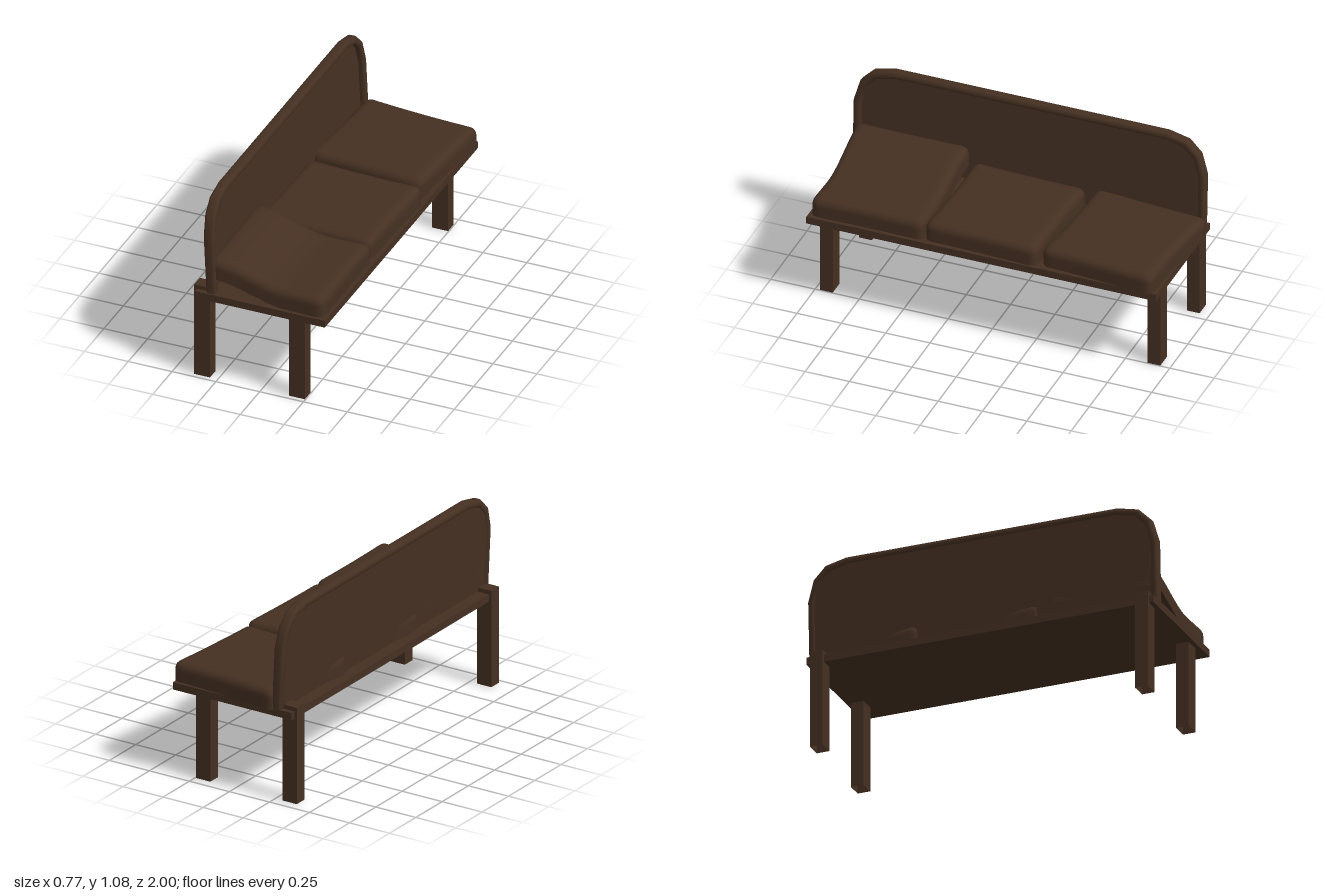
import * as THREE from 'three';
import { toCreasedNormals } from 'three/addons/utils/BufferGeometryUtils.js';

const material = new THREE.MeshStandardMaterial({ color: 0x453022, side: THREE.DoubleSide });

function addMesh(parent, name, geometry, x = 0, y = 0, z = 0) {
  const mesh = new THREE.Mesh(geometry, material);
  mesh.name = name;
  mesh.position.set(x, y, z);
  parent.add(mesh);
  return mesh;
}

// Box given by its limits along each axis
function addBox(parent, name, x0, x1, y0, y1, z0, z1) {
  return addMesh(parent, name, new THREE.BoxGeometry(x1 - x0, y1 - y0, z1 - z0),
    (x0 + x1) / 2, (y0 + y1) / 2, (z0 + z1) / 2);
}

// Hollow leg: a box without its bottom face
function addLeg(parent, name, x0, x1, top, z) {
  const geometry = addBox(parent, name, x0, x1, 0, top, z, z + 0.072).geometry;
  const index = Array.from(geometry.index.array);
  index.splice(18, 6);
  geometry.setIndex(index);
  geometry.clearGroups();
}

// Soft square cushion: flat bottom, rounded top and corners, pinched sides, optional rise at the back
function cushionGeometry(w, h, d, rise) {
  const r = 0.045;
  const geometry = new THREE.BoxGeometry(w, h, d, 28, 8, 28);
  const pos = geometry.attributes.position;
  const p = new THREE.Vector3(), core = new THREE.Vector3(), dir = new THREE.Vector3();
  const lo = new THREE.Vector3(-w / 2 + r, -h / 2, -d / 2 + r);
  const hi = new THREE.Vector3(w / 2 - r, h / 2 - r, d / 2 - r);
  for (let i = 0; i < pos.count; i++) {
    p.fromBufferAttribute(pos, i);
    core.copy(p).clamp(lo, hi);
    dir.subVectors(p, core);
    // keep the interior of the flat bottom as it is
    if (dir.length() > r || p.y > -h / 2 + 1e-6) p.copy(core).addScaledVector(dir.normalize(), r);
    const u = 2 * p.x / w, v = 2 * p.z / d;
    p.z *= 1 - 0.03 * (1 - u * u);
    p.x *= 1 - 0.015 * (1 - v * v);
    p.y += rise * THREE.MathUtils.smoothstep(-p.x, -0.12, 0.3);
    pos.setXYZ(i, p.x, p.y, p.z);
  }
  return toCreasedNormals(geometry, 0.7);
}

// Half outlines of the backrest, from its foot to the start of the top edge
const corner = [[0.992, 0], [0.992, 0.34], [0.958, 0.46], [0.888, 0.53], [0.77, 0.557]];
const innerCorner = [[0.952, 0], [0.952, 0.33], [0.922, 0.435], [0.866, 0.492], [0.76, 0.517]];
const panelCorner = innerCorner.map(([x, y]) => [x + 0.015, y && y + 0.015]);
const arch = (half) => [
  ...half.map(([x, y]) => new THREE.Vector2(x, y)),
  ...half.map(([x, y]) => new THREE.Vector2(-x, y)).reverse(),
];

function extrudeAcross(points, depth, bevel) {
  const geometry = new THREE.ExtrudeGeometry(new THREE.Shape(points), {
    depth: depth - 2 * bevel, bevelEnabled: bevel > 0, bevelThickness: bevel,
    bevelSize: bevel, bevelOffset: -bevel, bevelSegments: 3,
  });
  geometry.translate(0, 0, bevel - depth / 2);
  geometry.rotateY(Math.PI / 2);
  return toCreasedNormals(geometry, 0.6);
}

export function createModel() {
  const model = new THREE.Group();
  model.name = 'bench';

  // Seat board and legs
  addBox(model, 'seatBoard', -0.37, 0.372, 0.483, 0.524, -0.972, 1.0);
  for (const z of [-0.945, 0.902]) {
    addLeg(model, 'backLeg', -0.385, -0.295, 0.547, z);
    addLeg(model, 'frontLeg', 0.155, 0.246, 0.49, z);
  }

  // Leaning backrest: padded rim with a thin panel set towards the rear
  const backrest = new THREE.Group();
  backrest.name = 'backrest';
  backrest.position.set(-0.28, 0.527, 0.006);
  backrest.rotation.z = 0.047;
  model.add(backrest);
  addMesh(backrest, 'backrestRim',
    extrudeAcross([...arch(corner), ...arch(innerCorner).reverse()], 0.059, 0.015));
  addMesh(backrest, 'backrestPanel', extrudeAcross(arch(panelCorner), 0.02, 0), -0.013);

  // Three loose cushions, each turned a little; the left one is bent up at the back
  const cushions = [
    { name: 'leftCushion', x: 0.022, z: 0.667, turn: 0, rise: 0.09, w: 0.666, d: 0.642 },
    { name: 'middleCushion', x: 0.025, z: 0.018, turn: -0.033, rise: 0, w: 0.662, d: 0.644 },
    { name: 'rightCushion', x: 0.034, z: -0.656, turn: -0.08, rise: 0, w: 0.665, d: 0.648 },
  ];
  for (const c of cushions) {
    const mesh = addMesh(model, c.name, cushionGeometry(c.w, 0.112, c.d, c.rise), c.x, 0.579, c.z);
    mesh.rotation.y = c.turn;
  }
  return model;
}
